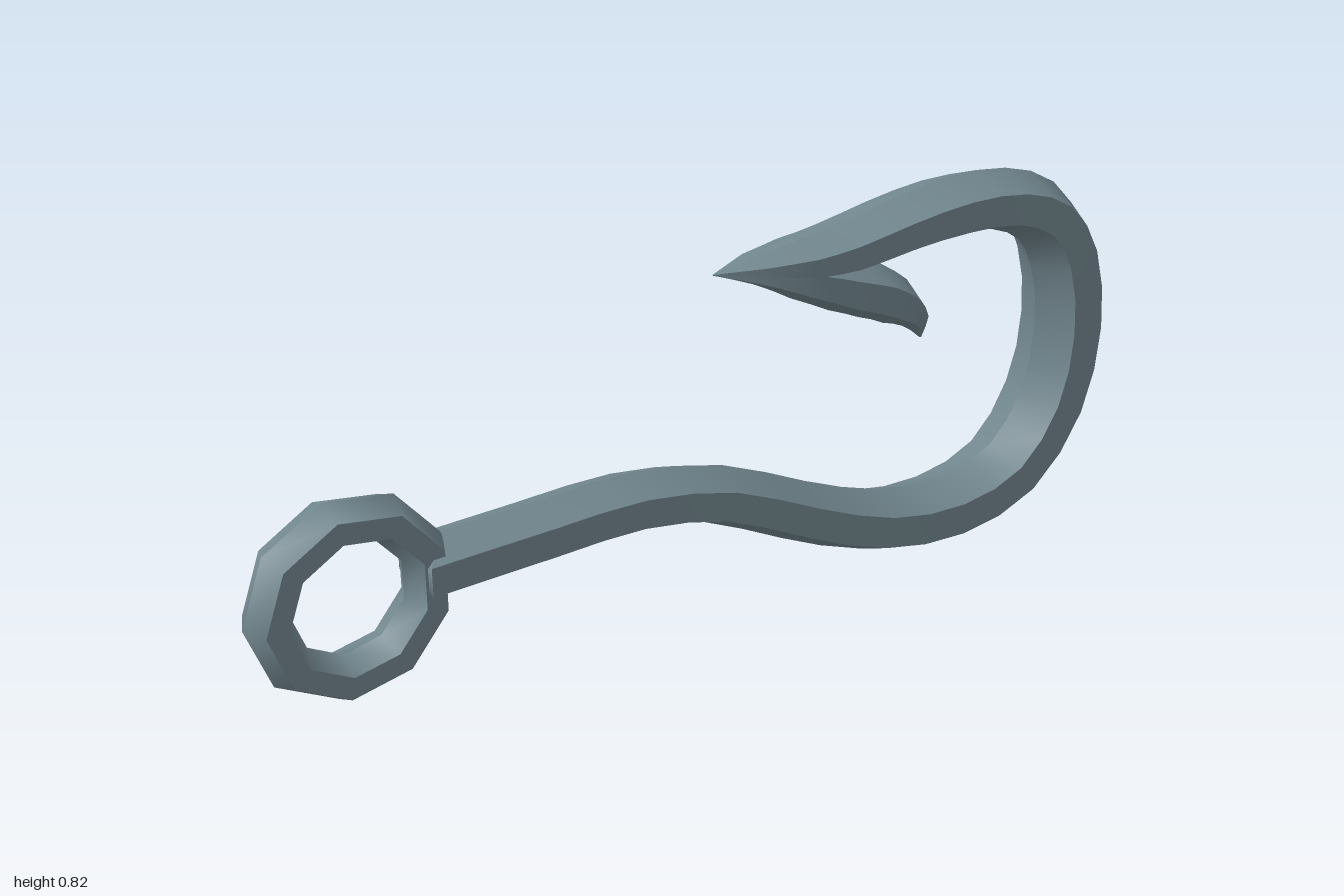
import * as THREE from 'three';

// Hexagonal bar swept through stations [z, y, halfDepth, halfWidth] in the x = 0 plane.
// Each of the six sides is its own strip: smooth along the bar, sharp at the hex edges.
function hexSweep(stations, { closed = false, endNotch = 0 } = {}) {
  const n = stations.length;
  const rings = stations.map(([z, y, r, w], i) => {
    const a = stations[closed ? (i + n - 1) % n : Math.max(i - 1, 0)];
    const b = stations[closed ? (i + 1) % n : Math.min(i + 1, n - 1)];
    const len = Math.hypot(b[0] - a[0], b[1] - a[1]);
    const tz = (b[0] - a[0]) / len, ty = (b[1] - a[1]) / len;
    return Array.from({ length: 6 }, (_, k) => {
      const d = r * Math.cos(k * Math.PI / 3);
      const x = w * Math.sin(k * Math.PI / 3) / Math.sin(Math.PI / 3);
      const pull = i === 0 && k % 3 === 0 ? endNotch : 0;
      return [x, y - tz * d + ty * pull, z + ty * d + tz * pull];
    });
  });
  const pos = [], index = [];
  for (let k = 0; k < 6; k++) {
    const base = pos.length / 3;
    rings.forEach(ring => pos.push(...ring[k], ...ring[(k + 1) % 6]));
    for (let i = 0; i < (closed ? n : n - 1); i++) {
      const p = base + 2 * i, q = base + 2 * ((i + 1) % n);
      index.push(p, p + 1, q + 1, p, q + 1, q);
    }
  }
  // End caps
  if (!closed) {
    for (const i of [0, n - 1]) {
      const base = pos.length / 3;
      pos.push(0, stations[i][1], stations[i][0]);
      rings[i].forEach(p => pos.push(...p));
      for (let k = 0; k < 6; k++) {
        const p = base + 1 + k, q = base + 1 + (k + 1) % 6;
        index.push(base, ...(i === 0 ? [q, p] : [p, q]));
      }
    }
  }
  const geo = new THREE.BufferGeometry();
  geo.setAttribute('position', new THREE.Float32BufferAttribute(pos, 3));
  geo.setIndex(index);
  geo.computeVertexNormals();
  return geo;
}

// Adds smoothly interpolated stations between the given ones
function refine(stations, steps) {
  const path = new THREE.CatmullRomCurve3(stations.map(s => new THREE.Vector3(0, s[1], s[0])));
  const count = (stations.length - 1) * steps;
  return Array.from({ length: count + 1 }, (_, j) => {
    const t = j / count;
    const p = path.getPoint(t);
    const i = Math.min(Math.floor(j / steps), stations.length - 2);
    const f = j / steps - i;
    const mix = c => THREE.MathUtils.lerp(stations[i][c], stations[i + 1][c], f);
    return [p.z, p.y, mix(2), mix(3)];
  });
}

export function createModel() {
  const model = new THREE.Group();
  model.name = 'fishHook';
  const steel = new THREE.MeshStandardMaterial({ color: 0x738890 });
  const add = (name, geo) => {
    const mesh = new THREE.Mesh(geo, steel);
    mesh.name = name;
    model.add(mesh);
  };

  // Shank, bend and tapering point
  const hook = [
    [0.66, 0.333, 0.06, 0.065], [0.4, 0.333, 0.06, 0.066], [0.2, 0.33, 0.06, 0.067],
    [0, 0.285, 0.061, 0.069], [-0.2, 0.187, 0.064, 0.072], [-0.4, 0.102, 0.068, 0.076],
    [-0.6, 0.074, 0.071, 0.079], [-0.775, 0.119, 0.074, 0.081], [-0.885, 0.255, 0.077, 0.083],
    [-0.921, 0.43, 0.078, 0.083], [-0.893, 0.6, 0.076, 0.083], [-0.825, 0.7, 0.07, 0.082],
    [-0.715, 0.75, 0.065, 0.081], [-0.575, 0.763, 0.063, 0.079], [-0.43, 0.754, 0.055, 0.076],
    [-0.3, 0.738, 0.049, 0.073], [-0.2, 0.738, 0.037, 0.068], [-0.1, 0.745, 0.02, 0.045],
    [0, 0.75, 0.001, 0.001],
  ];
  add('hook', hexSweep(refine(hook, 2), { endNotch: 0.055 }));

  // Barb: a spindle running from the point back to its own tip
  const barb = [
    [0, 0.75, 0.001, 0.001], [-0.1, 0.73, 0.022, 0.042], [-0.2, 0.7, 0.045, 0.067],
    [-0.3, 0.66, 0.055, 0.075], [-0.38, 0.628, 0.058, 0.074], [-0.45, 0.587, 0.05, 0.062],
    [-0.495, 0.545, 0.03, 0.04], [-0.522, 0.49, 0.002, 0.002],
  ];
  add('barb', hexSweep(refine(barb, 2)));

  // Nine-sided line eye
  const eye = Array.from({ length: 9 }, (_, i) => {
    const a = i * Math.PI * 2 / 9;
    return [0.795 + 0.16 * Math.cos(a), 0.32 + 0.16 * Math.sin(a), 0.045, 0.05];
  });
  add('eyeRing', hexSweep(eye, { closed: true }));

  return model;
}
